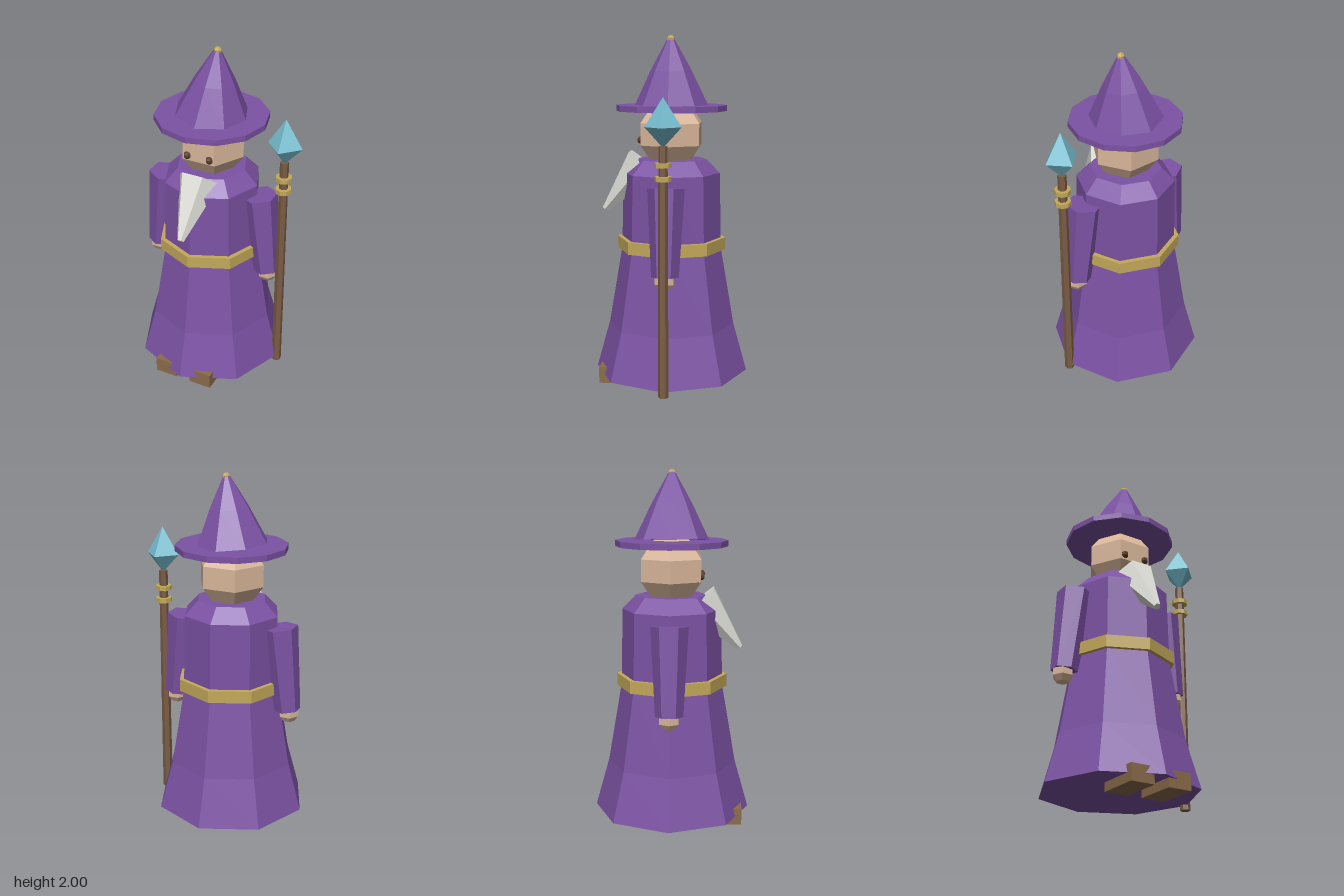
import * as THREE from 'three';

const mat = (name, color) => Object.assign(new THREE.MeshStandardMaterial({ color }), { name });

export function createModel() {
  const model = new THREE.Group();
  model.name = 'wizard';
  const purple = mat('purple cloth', 0x7c52a4);
  const gold = mat('gold', 0xc4a95a);
  const skin = mat('skin', 0xdab79b);
  const white = mat('white beard', 0xdcdcd6);
  const boot = mat('boot leather', 0x8a6b4a);
  const wood = mat('staff wood', 0x7a5c44);
  const eyeBrown = mat('eye brown', 0x5a3f2e);
  const ice = mat('crystal blue', 0x78c0d2);

  // Faceted mesh helper
  const add = (name, geometry, material, x, y, z, parent = model) => {
    const flat = geometry.index ? geometry.toNonIndexed() : geometry;
    flat.computeVertexNormals();
    const mesh = new THREE.Mesh(flat, material);
    mesh.name = name;
    mesh.position.set(x, y, z);
    parent.add(mesh);
    return mesh;
  };
  const lathe = (points, sides) =>
    new THREE.LatheGeometry(points.map(([r, y]) => new THREE.Vector2(r, y)), sides);

  // Everything but the staff is centred on this x
  const body = new THREE.Group();
  body.name = 'body';
  body.position.x = -0.046;
  model.add(body);

  // Robe and belt
  add('robe', lathe([[0, 0.05], [0.445, 0.05], [0.367, 0.33], [0.29, 0.78],
    [0.28, 1.22], [0.203, 1.3], [0, 1.3]], 8), purple, 0, 0, 0, body);
  add('belt', new THREE.CylinderGeometry(0.315, 0.315, 0.07, 8), gold, 0, 0.81, 0, body);

  // Head
  add('head', new THREE.SphereGeometry(0.203, 6, 5), skin, 0, 1.445, 0, body);

  // Paired parts
  for (const [side, s] of [['left', 1], ['right', -1]]) {
    add(side + 'Eye', new THREE.SphereGeometry(0.022, 6, 5), eyeBrown, s * 0.067, 1.413, 0.168, body);
    add(side + 'Boot', new THREE.BoxGeometry(0.138, 0.093, 0.25), boot, s * 0.112, 0.0465, 0.28, body);
    const sleeve = add(side + 'Sleeve', new THREE.CylinderGeometry(0.104, 0.077, 0.49, 6),
      purple, s * 0.322, 0.922, 0, body);
    sleeve.rotation.z = s * 0.112;
    add(side + 'Hand', new THREE.SphereGeometry(0.063, 6, 5), skin, s * 0.358, 0.665, 0, body);
  }

  // Beard: tapered and swung forward, flat facet to the front
  const beard = add('beard', new THREE.CylinderGeometry(0.125, 0.02, 0.357, 6).rotateY(Math.PI / 6),
    white, 0, 1.137, 0.273, body);
  beard.rotation.x = -0.71;

  // Hat with a slightly leaning crown
  add('hatBrim', new THREE.CylinderGeometry(0.318, 0.318, 0.033, 12), purple, 0, 1.5925, 0, body);
  const crown = add('hatCrown', lathe([[0, 0], [0.21, 0], [0.115, 0.2], [0.02, 0.372], [0, 0.372]], 8),
    purple, 0, 1.61, 0, body);
  crown.rotation.z = -0.09;
  add('hatTip', new THREE.SphereGeometry(0.023, 6, 5), gold, 0.035, 1.978, 0, body);

  // Staff with rings and crystal
  const staff = new THREE.Group();
  staff.name = 'staff';
  staff.position.x = 0.39;
  model.add(staff);
  add('staffShaft', new THREE.CylinderGeometry(0.025, 0.029, 1.39, 6), wood, 0, 0.715, 0, staff);
  for (const y of [1.235, 1.308]) {
    add('staffRing', new THREE.CylinderGeometry(0.046, 0.046, 0.026, 8), gold, 0, y, 0, staff);
  }
  add('crystal', lathe([[0, 1.4], [0.1, 1.51], [0, 1.668]], 4), ice, 0, 0, 0, staff);

  return model;
}
